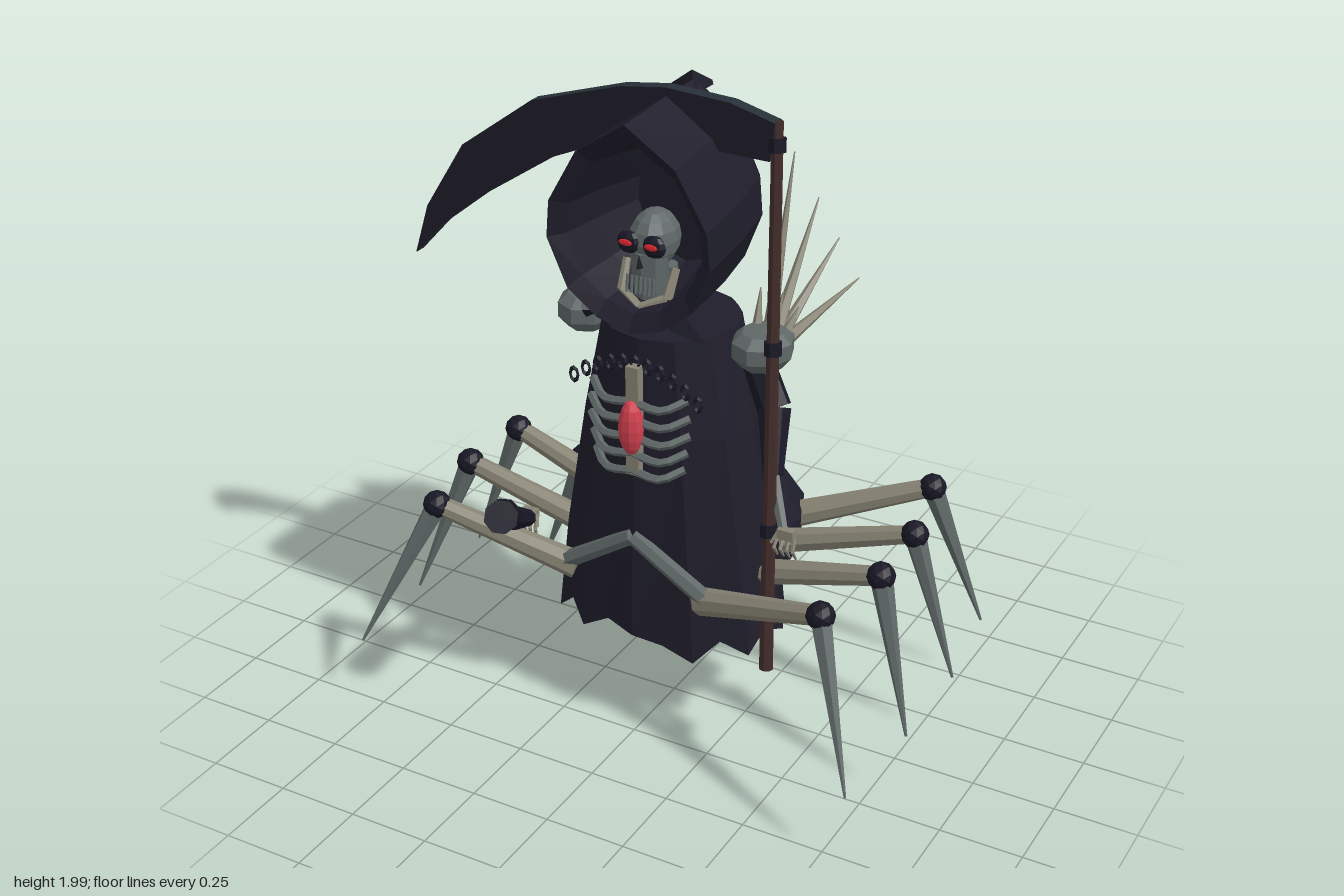
import * as THREE from 'three';

const mat = (name, color) => {
  const m = new THREE.MeshStandardMaterial({ color, flatShading: true, side: THREE.DoubleSide });
  m.name = name;
  return m;
};
const V = (p) => new THREE.Vector3(...p);
const V2 = (p) => new THREE.Vector2(...p);

function add(parent, name, geo, material, pos = [0, 0, 0], scale = [1, 1, 1]) {
  const m = new THREE.Mesh(geo, material);
  m.name = name;
  m.position.set(...pos);
  m.scale.set(...scale);
  parent.add(m);
  return m;
}

// tapered rod from a (radius ra) to b (radius rb)
function rod(parent, name, a, b, ra, rb, material, sides = 6) {
  const d = V(b).sub(V(a));
  const m = add(parent, name, new THREE.CylinderGeometry(rb, ra, d.length(), sides), material);
  m.position.copy(V(a).addScaledVector(d, 0.5));
  m.quaternion.setFromUnitVectors(new THREE.Vector3(0, 1, 0), d.normalize());
  return m;
}

// skin through equal-length closed loops, with a fan on the last one
function loft(loops) {
  const n = loops[0].length, pos = loops.flat(2), idx = [];
  for (let j = 0; j < loops.length - 1; j++) for (let i = 0; i < n; i++) {
    const a = j * n + i, b = j * n + (i + 1) % n;
    idx.push(a, a + n, b, b, a + n, b + n);
  }
  const last = loops[loops.length - 1], c = [0, 1, 2].map((k) => last.reduce((s, p) => s + p[k], 0) / n);
  const o = (loops.length - 1) * n;
  pos.push(...c);
  for (let i = 0; i < n; i++) idx.push(loops.length * n, o + (i + 1) % n, o + i);
  const g = new THREE.BufferGeometry();
  g.setAttribute('position', new THREE.Float32BufferAttribute(pos, 3));
  g.setIndex(idx);
  g.computeVertexNormals();
  return g;
}

export function createModel() {
  const root = new THREE.Group();
  root.name = 'reaperSpider';
  const cloth = mat('darkCloth', 0x1e1d2a), joint = mat('nearBlack', 0x181725);
  const bone = mat('bone', 0x888475), horn = mat('greyHorn', 0x5f6867);
  const wood = mat('darkWood', 0x402b28), red = mat('heartRed', 0xd0404f);
  const glow = mat('eyeRed', 0xff3038), edge = mat('bladeEdge', 0x273038);

  // pleated robe with a ragged hem
  const ring = (y, rx, rz, hem, pleat) => Array.from({ length: 24 }, (_, i) => {
    const a = i / 24 * Math.PI * 2, k = i % 2 ? 1 - pleat : 1;
    const lift = hem ? [0.04, 0.06, 0, 0.05, -0.02, 0.02][i % 6] : 0;
    return [Math.cos(a) * rx * k, y + lift, Math.sin(a) * rz * k + 0.01];
  });
  add(root, 'robe', loft([ring(0.31, 0.375, 0.25, true, 0.05), ring(0.6, 0.335, 0.245, false, 0.05),
    ring(1.0, 0.265, 0.22, false, 0.04), ring(1.3, 0.2, 0.2, false, 0.02)]), cloth);

  // deep hood, from the inner back out over the rim to the closed back
  const half = [[0, 1.34], [0.1, 1.37], [0.19, 1.44], [0.25, 1.58], [0.24, 1.69], [0.15, 1.85], [0, 1.95]];
  const outline = [...half, ...half.slice(1, -1).reverse().map(([x, y]) => [-x, y])];
  const hoodLoop = (z, sx, sy, lift = 0, lean = 0) =>
    outline.map(([x, y]) => [x * sx + 0.005, 1.62 + (y - 1.62) * sy + lift, z + lean * (y - 1.62)]);
  add(root, 'hood', loft([hoodLoop(-0.06, 0.62, 0.66), hoodLoop(0.1, 0.76, 0.76), hoodLoop(0.24, 0.85, 0.82),
    hoodLoop(0.275, 1.02, 1, 0, 0.02), hoodLoop(0.05, 0.96, 1, 0.012), hoodLoop(-0.1, 0.88, 0.97, 0.025),
    hoodLoop(-0.145, 0.78, 0.9, 0.02), hoodLoop(-0.18, 0.45, 0.5)]), cloth);
  add(root, 'hoodInnerBack', new THREE.CircleGeometry(0.22, 12), cloth, [0, 1.62, -0.06], [0.72, 1, 1]);
  const fold = [[0.05, 1.95, -0.02], [0, 1.99, -0.1], [-0.05, 1.95, -0.02], [0, 1.92, -0.12]];
  add(root, 'hoodPeak', loft([fold, fold.map(([x, , z], i) => [x * 0.15, 1.915 + (i === 1 ? 0.01 : 0), -0.21 + z * 0.1])]), cloth);
  for (const s of [-1, 1]) rod(root, 'hoodPoint', [s * 0.13, 1.4, 0.24], [s * 0.19, 1.31, 0.17], 0.04, 0.002, cloth, 4);

  // skull and neck
  const skull = new THREE.Group();
  skull.name = 'skull';
  root.add(skull);
  rod(skull, 'neck', [0, 1.28, 0.01], [0, 1.46, 0.03], 0.035, 0.025, horn, 8);
  add(skull, 'cranium', new THREE.SphereGeometry(1, 10, 8), horn, [0, 1.57, 0.11], [0.07, 0.085, 0.085]);
  rod(skull, 'face', [0, 1.41, 0.13], [0, 1.55, 0.14], 0.05, 0.056, horn, 8);
  add(skull, 'nose', new THREE.ConeGeometry(0.012, 0.04, 3), joint, [0, 1.53, 0.2]);
  for (const s of [-1, 1]) {
    add(skull, 'eyeSocket', new THREE.SphereGeometry(1, 8, 6), joint, [s * 0.04, 1.575, 0.185], [0.037, 0.033, 0.02]);
    add(skull, 'eye', new THREE.SphereGeometry(1, 8, 4), glow, [s * 0.04, 1.58, 0.205], [0.022, 0.01, 0.004]);
    rod(skull, 'jawSide', [s * 0.078, 1.5, 0.13], [s * 0.072, 1.42, 0.17], 0.012, 0.015, bone);
    rod(skull, 'jawFront', [s * 0.072, 1.42, 0.17], [0, 1.39, 0.2], 0.015, 0.015, bone);
  }
  for (let i = -3; i <= 3; i++) rod(skull, 'tooth', [i * 0.014, 1.43, 0.195], [i * 0.014, 1.48, 0.19], 0.005, 0.005, horn, 4);

  // breastbone, ribs and heart
  add(root, 'breastbone', new THREE.BoxGeometry(0.04, 0.34, 0.03), bone, [0.005, 1.06, 0.24]);
  for (let i = 0; i < 5; i++) for (const s of [-1, 1]) {
    const y = 1.14 - i * 0.055, w = 0.165 - Math.abs(i - 1.5) * 0.008;
    const path = new THREE.CatmullRomCurve3([V([0, y - 0.02, 0.245]), V([s * w * 0.6, y - 0.028, 0.245]), V([s * w, y, 0.2])]);
    add(root, 'rib', new THREE.TubeGeometry(path, 6, 0.013, 5), horn);
  }
  add(root, 'heart', new THREE.SphereGeometry(1, 10, 8), red, [0.005, 1.045, 0.26], [0.038, 0.085, 0.035]);

  // arched chain of beads
  for (let i = -5; i <= 5; i++)
    add(root, 'chainLink', new THREE.TorusGeometry(0.016, 0.006, 4, 8), joint,
      [i * 0.04 + 0.005, 1.235 - i * i * 0.0032, 0.235], [0.8, 1.25, 1]);

  // shoulder pads with fans of spikes
  const tips = [[0.24, 1.74, -0.265], [0.28, 1.58, -0.35], [0.31, 1.43, -0.435], [0.34, 1.275, -0.52]];
  for (const s of [-1, 1]) {
    const pad = new THREE.LatheGeometry([[0, -0.055], [0.06, -0.055], [0.088, -0.02], [0.088, 0.025], [0.06, 0.05], [0, 0.055]].map(V2), 8);
    add(root, 'shoulderPad', pad, horn, [s * 0.285, 1.255, 0], [1, 1, 1.15]);
    for (const [x, y, z] of tips) rod(root, 'backSpike', [s * (x * 0.3 + 0.18), 1.21, -0.1], [s * x, y, z], 0.024, 0.002, bone, 5);
    for (let i = 0; i < 4; i++)
      rod(root, 'padSpike', [s * (0.25 + i * 0.025), 1.28, -0.03 - (i % 2) * 0.03],
        [s * (0.24 + i * 0.035), 1.4 - (i % 2) * 0.05, -0.07 - (i % 2) * 0.03], 0.018, 0.002, bone, 5);
  }

  // single torn wing on the right
  const wing = [[1.2, -0.1], [1.735, -0.265], [1.57, -0.34], [1.43, -0.44], [1.04, -0.45], [0.775, -0.26]];
  const wingGeo = new THREE.ShapeGeometry(new THREE.Shape(wing.map(([y, z]) => new THREE.Vector2(-z, y))));
  const wp = wingGeo.attributes.position;
  for (let i = 0; i < wp.count; i++) wp.setXYZ(i, -0.22 - wp.getX(i) * 0.15, wp.getY(i), -wp.getX(i));
  wingGeo.computeVertexNormals();
  add(root, 'wing', wingGeo, cloth);

  // arms with skeletal hands
  function hand(name, p, s) {
    const g = new THREE.Group();
    g.name = name;
    g.position.set(...p);
    root.add(g);
    add(g, 'palm', new THREE.BoxGeometry(0.05, 0.03, 0.025), bone);
    for (let i = 0; i < 4; i++) {
      const x = (i - 1.5) * 0.016;
      rod(g, 'finger', [x, -0.01, 0], [x * 1.2, -0.04, 0.02], 0.006, 0.006, bone, 4);
      rod(g, 'fingertip', [x * 1.2, -0.04, 0.02], [x * 1.2 + s * 0.005, -0.07, 0.005], 0.006, 0.003, bone, 4);
    }
    rod(g, 'thumb', [-s * 0.025, 0, 0], [-s * 0.04, -0.03, 0.02], 0.007, 0.004, bone, 4);
  }
  function sleeve(name, pts, radii) {
    for (let i = 0; i < pts.length - 1; i++) rod(root, name, pts[i], pts[i + 1], radii[i], radii[i + 1], joint, 8);
  }
  sleeve('rightSleeve', [[-0.41, 0.59, 0.17], [-0.375, 0.67, 0.31], [-0.33, 0.75, 0.42], [-0.265, 0.815, 0.53]], [0.025, 0.038, 0.048, 0.05]);
  rod(root, 'rightForearm', [-0.41, 0.59, 0.17], [-0.455, 0.56, 0.09], 0.02, 0.015, bone);
  hand('rightHand', [-0.455, 0.555, 0.09], -1);
  sleeve('leftSleeve', [[0.25, 1.22, -0.02], [0.335, 1.08, 0.02], [0.38, 0.92, 0.11]], [0.045, 0.05, 0.03]);
  rod(root, 'leftForearm', [0.38, 0.92, 0.11], [0.455, 0.8, 0.19], 0.02, 0.015, horn);
  hand('leftHand', [0.47, 0.8, 0.2], 1);

  // scythe: pole, bindings and curved blade
  const poleTop = [0.33, 1.94, 0.03], poleEnd = [0.43, 0.355, 0.23];
  const along = (t) => poleTop.map((v, i) => v + (poleEnd[i] - v) * t);
  rod(root, 'scythePole', poleTop, poleEnd, 0.017, 0.021, wood, 8);
  for (const t of [0.04, 0.395, 0.73]) rod(root, 'poleBinding', along(t - 0.012), along(t + 0.012), 0.026, 0.026, joint, 8);
  const blade = new THREE.Shape([[0.335, 1.94], [0.2, 1.975], [0, 1.985], [-0.14, 1.965], [-0.43, 1.875], [-0.67, 1.7],
    [-0.805, 1.485], [-0.855, 1.325], [-0.75, 1.44], [-0.6, 1.56], [-0.36, 1.72], [-0.2, 1.79], [0, 1.835], [0.32, 1.83]].map(V2));
  add(root, 'scytheBlade', new THREE.ExtrudeGeometry(blade, { depth: 0.04, bevelEnabled: false }), [cloth, edge], [0, 0, 0.014]);

  // broad spider abdomen with a flat belly reaching under the robe
  const belly = [[0, 0.315], [0.6, 0.325], [0.88, 0.38], [0.99, 0.45], [1, 0.55], [0.85, 0.62], [0.55, 0.67], [0, 0.68]];
  add(root, 'abdomen', new THREE.LatheGeometry(belly.map(V2), 14), cloth, [0, 0, -0.22], [0.285, 1, 0.34]);
  for (let i = -2; i <= 2; i++)
    rod(root, 'abdomenSpine', [i * 0.06, 0.35, -0.24], [i * 0.07, 0.285, -0.25], 0.025, 0.002, cloth, 4);

  // eight legs: root z, knee x and z, tip x and z; the right rear one hangs lower
  const legs = [[-0.35, 0.62, -0.48, 0.795, -0.505], [-0.17, 0.685, -0.195, 0.84, -0.17],
    [0.02, 0.695, 0.065, 0.84, 0.17], [0.22, 0.635, 0.335, 0.81, 0.515]];
  for (const s of [-1, 1]) legs.forEach(([rz, kx, kz, tx, tz], i) => {
    const leg = new THREE.Group();
    leg.name = 'leg';
    root.add(leg);
    if (s < 0 && i === 0) leg.position.y = -0.22;
    const knee = [s * kx + 0.01, 0.66, kz];
    rod(leg, 'upperLeg', [s * 0.21, 0.51, rz], knee, 0.042, 0.029, bone, 8);
    add(leg, 'knee', new THREE.IcosahedronGeometry(0.043, 1), joint, knee);
    rod(leg, 'lowerLeg', knee, [s * tx + 0.01, 0.225, tz], 0.034, 0.004, horn, 6);
    if (i === 3) rod(leg, 'hipBone', [s * 0.25, 0.52, 0.235], [0, 0.685, 0.25], 0.028, 0.024, horn, 6);
  });
  return root;
}
